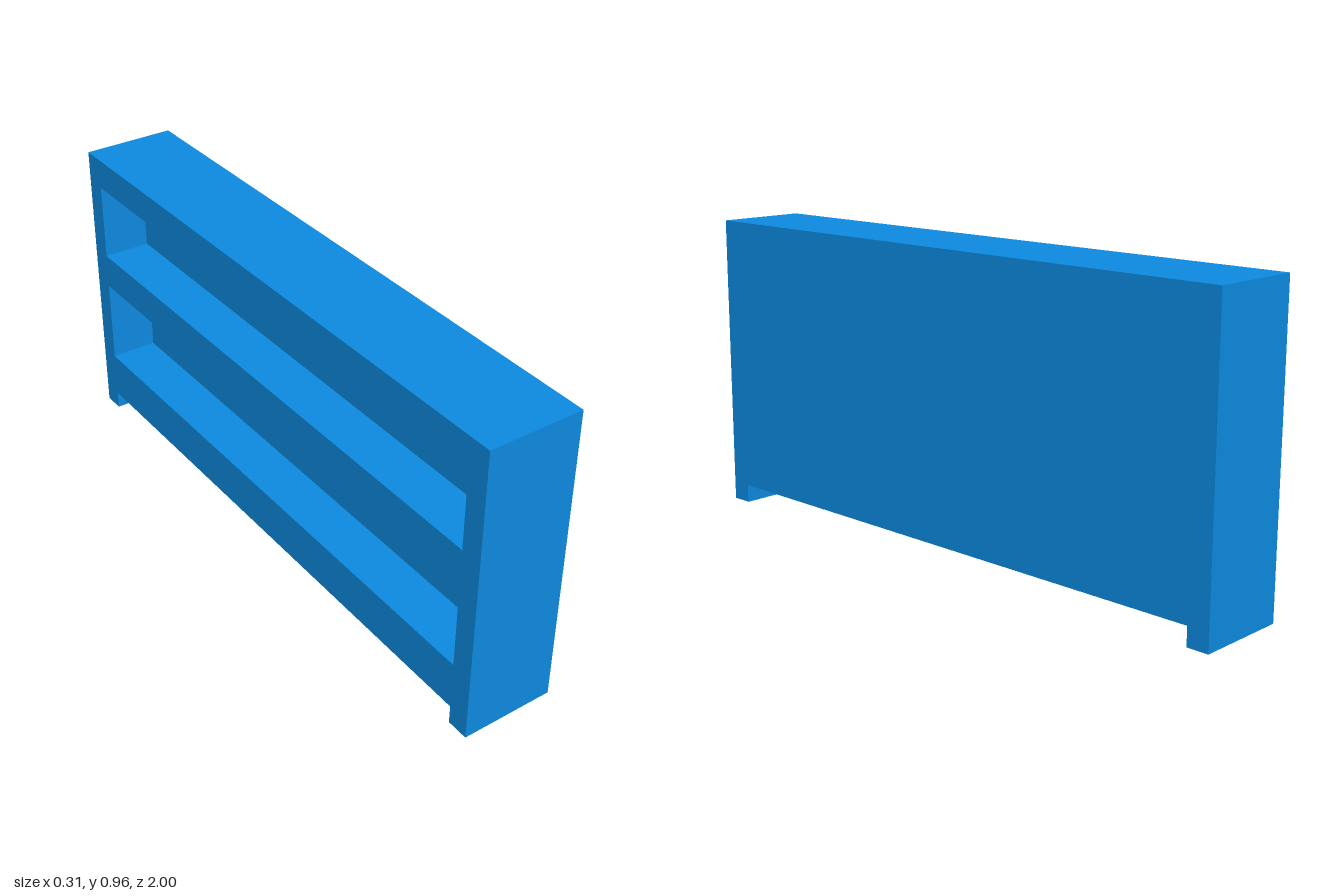
import * as THREE from 'three';

const HALF_LENGTH = 1, HALF_DEPTH = 0.15, TOP = 0.965;
const FOOT_HEIGHT = 0.06, INNER = 0.93, RECESS_X = 0.005;
const BAYS = [[0.215, 0.497], [0.613, 0.865]]; // bottom and top of each open bay

// Side outline with a foot at each end; shape x becomes model z
function sideOutline() {
  return new THREE.Shape([
    [-HALF_LENGTH, 0], [-INNER, 0], [-INNER, FOOT_HEIGHT], [INNER, FOOT_HEIGHT],
    [INNER, 0], [HALF_LENGTH, 0], [HALF_LENGTH, TOP], [-HALF_LENGTH, TOP],
  ].map(([x, y]) => new THREE.Vector2(x, y)));
}

// Extrude a side shape across the depth, from x0 to x1
function panel(name, shape, x0, x1, material) {
  const geometry = new THREE.ExtrudeGeometry(shape, { depth: x1 - x0, bevelEnabled: false });
  geometry.rotateY(-Math.PI / 2).translate(x1, 0, 0);
  const mesh = new THREE.Mesh(geometry, material);
  mesh.name = name;
  return mesh;
}

export function createModel() {
  const group = new THREE.Group();
  group.name = 'bookshelf';
  const blue = new THREE.MeshStandardMaterial({ color: 0x0d8ae0 });

  // Shelf frame with two long open bays
  const frame = sideOutline();
  for (const [low, high] of BAYS) {
    frame.holes.push(new THREE.Path([
      new THREE.Vector2(-INNER, low), new THREE.Vector2(-INNER, high),
      new THREE.Vector2(INNER, high), new THREE.Vector2(INNER, low),
    ]));
  }
  group.add(panel('shelfFrame', frame, -HALF_DEPTH, RECESS_X, blue));

  // Solid back behind the bays
  group.add(panel('backPanel', sideOutline(), RECESS_X, HALF_DEPTH, blue));

  // The unit stands turned very slightly
  group.rotation.y = 0.003;
  return group;
}
